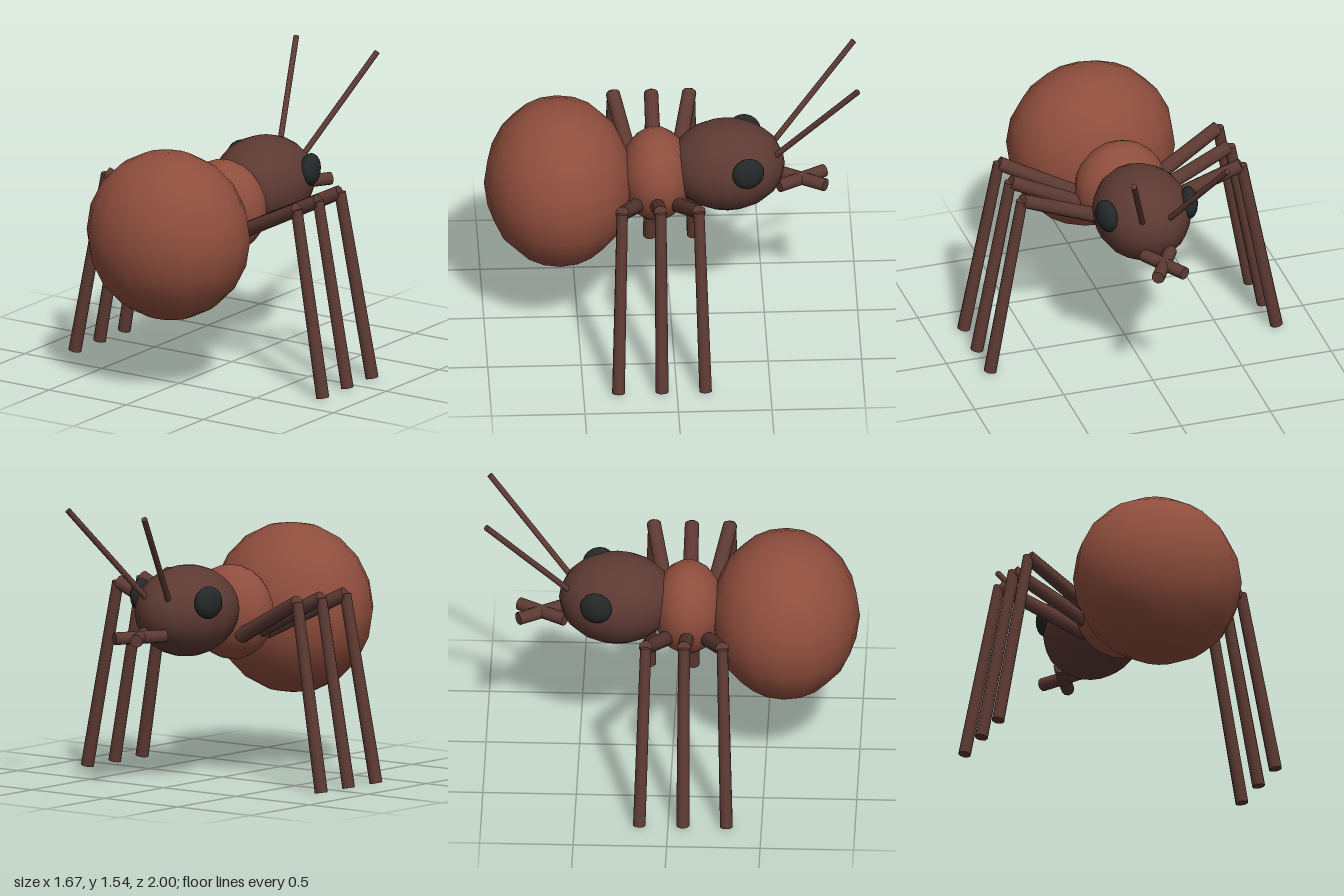
import * as THREE from 'three';

const mat = (name, color) => {
  const m = new THREE.MeshStandardMaterial({ color });
  m.name = name;
  return m;
};

export function createModel() {
  const rust = mat('rust body', 0x8f4e3d);
  const brown = mat('dark brown', 0x5d3a33);
  const black = mat('eye black', 0x242828);
  const ant = new THREE.Group();
  ant.name = 'ant';

  // Smooth ellipsoid with the given centre and radii
  const ellipsoid = (name, material, centre, radii, w = 16, h = 12) => {
    const mesh = new THREE.Mesh(new THREE.SphereGeometry(1, w, h), material);
    mesh.name = name;
    mesh.position.set(...centre);
    mesh.scale.set(...radii);
    ant.add(mesh);
    return mesh;
  };

  // Capped rod between two points
  const rod = (name, from, to, rFrom, rTo = rFrom) => {
    const a = new THREE.Vector3(...from);
    const b = new THREE.Vector3(...to);
    const dir = b.clone().sub(a);
    const mesh = new THREE.Mesh(new THREE.CylinderGeometry(rTo, rFrom, dir.length(), 10), brown);
    mesh.name = name;
    mesh.position.copy(a).add(b).multiplyScalar(0.5);
    mesh.quaternion.setFromUnitVectors(new THREE.Vector3(0, 1, 0), dir.normalize());
    ant.add(mesh);
  };

  // Body segments
  ellipsoid('abdomen', rust, [0, 0.85, 0.6], [0.46, 0.46, 0.4], 16, 10);
  ellipsoid('thorax', rust, [0, 0.885, 0.08], [0.25, 0.255, 0.19]);
  ellipsoid('head', brown, [0, 0.935, -0.3], [0.26, 0.245, 0.31]);

  for (const [side, s] of [['left', 1], ['right', -1]]) {
    // Eyes, turned slightly towards the face
    const eye = ellipsoid(side + 'Eye', black, [s * 0.23, 1.01, -0.405], [0.05, 0.088, 0.088]);
    eye.rotation.y = s * 0.2;

    // Antennae and crossed mandibles
    rod(side + 'Antenna', [s * 0.075, 1.02, -0.55], [s * 0.262, 1.53, -0.99], 0.016);
    rod(side + 'Mandible', [s * 0.075, 0.835, -0.575], [s * -0.075, 0.835, -0.825], 0.035);

    // Three legs, fanning out from the thorax
    for (const [row, k] of [['front', -1], ['middle', 0], ['back', 1]]) {
      const hip = [s * 0.15, 0.78, 0.08 + k * 0.105];
      const knee = [s * 0.615, 1.015, 0.08 + k * 0.205];
      const foot = [s * 0.803, 0.006, 0.08 + k * 0.233];
      rod(`${side}${row}UpperLeg`, hip, knee, 0.042, 0.038);
      rod(`${side}${row}LowerLeg`, knee, foot, 0.031, 0.035);
    }
  }
  return ant;
}
